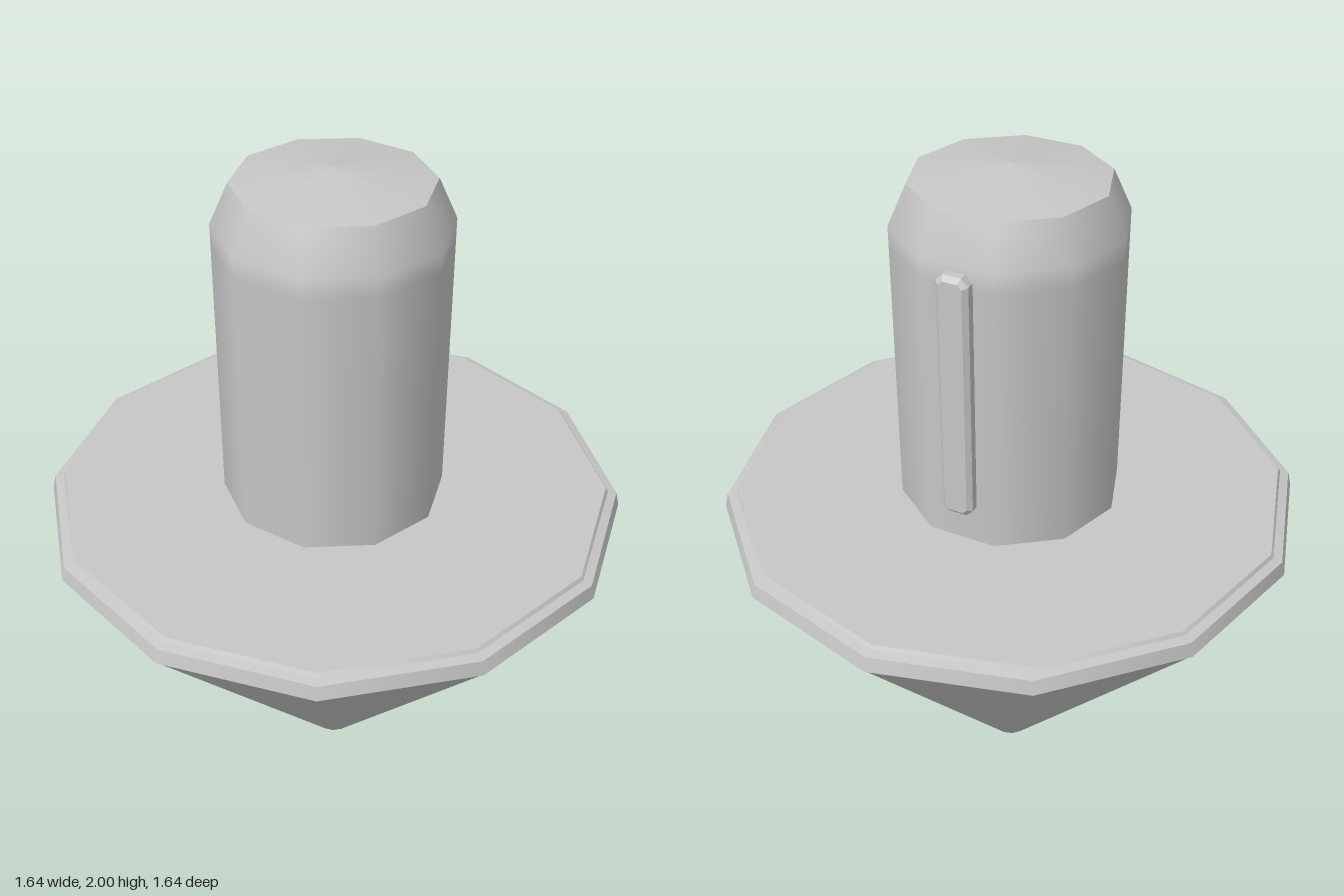
import * as THREE from 'three';

export function createModel() {
  const group = new THREE.Group();
  const grey = new THREE.MeshStandardMaterial({ color: 0xc6c6c6 });
  grey.name = 'plain grey';

  const add = (geometry, name) => {
    const mesh = new THREE.Mesh(geometry, grey);
    mesh.name = name;
    group.add(mesh);
    return mesh;
  };

  // Revolved section: profile of [radius, height] points, listed bottom to top
  const turn = (name, points, sides, start = 0) =>
    add(new THREE.LatheGeometry(points.map(([r, y]) => new THREE.Vector2(r, y)), sides, start), name);

  // Twelve-sided pointed body, with separate sections for crisp edges
  turn('coneTip', [[0, 0], [0.02, 0.012], [0.055, 0.045]], 12);
  turn('cone', [[0.055, 0.045], [0.805, 0.965]], 12);
  turn('rimUnderside', [[0.805, 0.965], [0.82, 0.98]], 12);
  turn('rimBand', [[0.82, 0.98], [0.81, 1.02]], 12);
  turn('rimLedge', [[0.81, 1.02], [0.785, 1.026]], 12);
  turn('rimStep', [[0.785, 1.026], [0.778, 1.036]], 12);
  turn('topPlate', [[0.778, 1.036], [0, 1.036]], 12);

  // Ten-sided post with a chamfered shoulder and a shallow cap
  const quarter = Math.PI / 2;
  turn('post', [[0.313, 1.03], [0.313, 1.8], [0.313, 1.855], [0.263, 1.965]], 10, quarter);
  turn('postCap', [[0.263, 1.965], [0, 2]], 10, quarter);

  // Raised key on the back of the post
  const w = 0.032, h = 0.34, c = 0.012;
  const outline = new THREE.Shape([
    [-w + c, -h], [w - c, -h], [w, -h + c], [w, h - c],
    [w - c, h], [-w + c, h], [-w, h - c], [-w, -h + c],
  ].map(([x, y]) => new THREE.Vector2(x, y)));
  const keyGeometry = new THREE.ExtrudeGeometry(outline, {
    depth: 0.03, bevelEnabled: true, bevelThickness: 0.012, bevelSize: 0.013, bevelSegments: 1,
  });
  const key = add(keyGeometry, 'key');
  key.rotation.y = Math.PI;
  key.position.set(0, 1.485, -0.289);

  return group;
}
